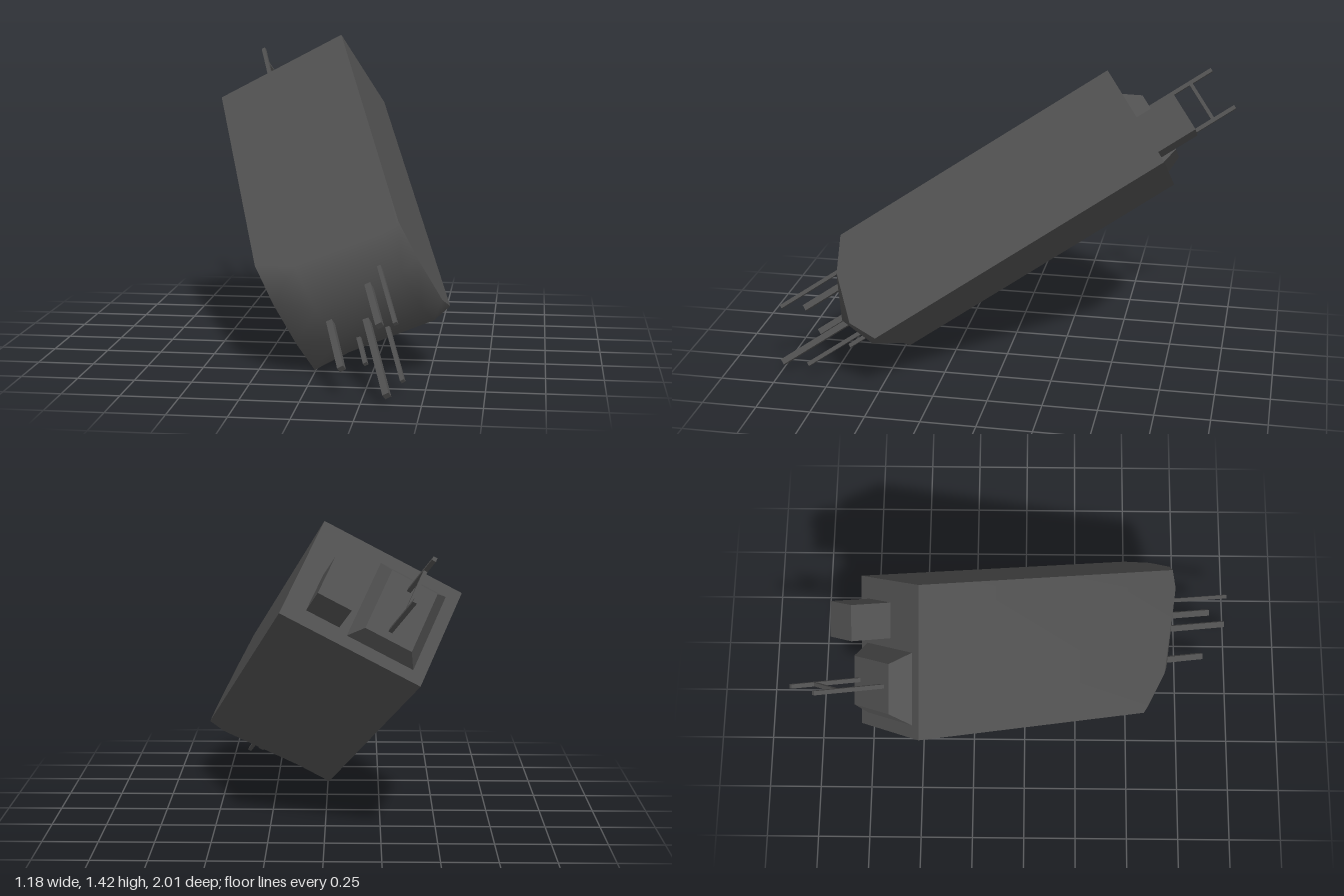
import * as THREE from 'three';

export function createModel() {
  const model = new THREE.Group();
  model.name = 'model';
  const gunmetal = new THREE.MeshStandardMaterial({ color: 0x505050 });
  gunmetal.name = 'dark grey';

  // Everything is built upright (top back edge on the x axis, front to +z), then tilted
  const body = new THREE.Group();
  body.name = 'tiltedBody';
  model.add(body);

  const add = (name, geometry, x = 0, y = 0, z = 0) => {
    const mesh = new THREE.Mesh(geometry, gunmetal);
    mesh.name = name;
    mesh.position.set(x, y, z);
    body.add(mesh);
    return mesh;
  };

  const fromTriangles = (triangles) => {
    const g = new THREE.BufferGeometry().setFromPoints(triangles.flat());
    g.computeVertexNormals();
    return g;
  };

  // Hull cross-sections from side to side: [depth below top, forward reach]
  const W = 0.666, H = 0.484;
  const sections = [
    [0, [[0, 1.24], [0.127, 1.37], [0.315, 1.46], [H, 1.485]]],
    [0.175, [[0, 1.36], [0.15, 1.5], [0.33, 1.535], [H, 1.48]]],
    [0.58, [[0, 1.42], [0.15, 1.53], [0.32, 1.6], [H, 1.53]]],
    [W, [[0, 1.4], [0.14, 1.5], [0.365, 1.56], [H, 1.495]]],
  ];
  const columns = sections.map(([x, pts]) =>
    [[0, 0], ...pts].map(([depth, z]) => new THREE.Vector3(x, -depth, z)));
  const rows = columns[0].length;

  // Smooth skin over the top and the rounded nose
  const index = [];
  for (let c = 0; c < 3; c++) {
    for (let r = 0; r < rows - 1; r++) {
      const p = c * rows + r, q = p + rows;
      index.push(p, p + 1, q, q, p + 1, q + 1);
    }
  }
  const skin = new THREE.BufferGeometry().setFromPoints(columns.flat());
  skin.setIndex(index);
  skin.computeVertexNormals();
  add('topAndNose', skin);

  // Flat sides, underside and back
  const lowA = new THREE.Vector3(0, -H, 0), lowB = new THREE.Vector3(W, -H, 0);
  const [sideA, sideB] = [columns[0], columns[3]];
  const sides = [], under = [];
  for (let r = 0; r < rows - 1; r++) {
    sides.push([lowB, sideB[r], sideB[r + 1]], [lowA, sideA[r + 1], sideA[r]]);
  }
  for (let c = 0; c < 3; c++) under.push([lowA, columns[c + 1][rows - 1], columns[c][rows - 1]]);
  under.push([lowA, lowB, sideB[rows - 1]]);
  add('sideWalls', fromTriangles(sides));
  add('underside', fromTriangles(under));
  add('backWall', fromTriangles([[lowA, sideA[0], sideB[0]], [lowA, sideB[0], lowB]]));

  // Block on the back
  add('backBlock', new THREE.BoxGeometry(0.156, 0.185, 0.205), 0.492, -0.322, -0.0925);

  // Raised panel on the back, with sloping edges
  const panel = new THREE.BoxGeometry(0.32, 0.383, 0.09);
  const pos = panel.attributes.position;
  for (let i = 0; i < pos.count; i++) {
    if (pos.getZ(i) < 0) {
      pos.setX(i, pos.getX(i) * 0.68);
      pos.setY(i, pos.getY(i) > 0 ? 0.137 : -0.16);
    }
  }
  panel.computeVertexNormals();
  add('backPanel', panel, 0.214, -0.2415, -0.04);

  // Pair of back aerials joined by a crossbar
  for (const y of [-0.151, -0.358]) {
    add('aerial', new THREE.BoxGeometry(0.018, 0.018, 0.37), 0.221, y, -0.237);
  }
  add('aerialCrossbar', new THREE.BoxGeometry(0.016, 0.207, 0.016), 0.221, -0.2545, -0.306);

  // Nose rods: x, depth below top, tip, thickness
  const noseRods = [
    [0.508, 0.103, 1.83, 0.017],
    [0.429, 0.149, 1.753, 0.028],
    [0.199, 0.236, 1.795, 0.028],
    [0.263, 0.38, 1.69, 0.018],
    [0.341, 0.295, 1.986, 0.028],
    [0.4, 0.378, 1.873, 0.018],
  ];
  for (const [x, depth, tip, t] of noseRods) {
    const start = 1.4;
    add('noseRod', new THREE.BoxGeometry(t, t, tip - start), x, -depth, (tip + start) / 2);
  }

  // Tilt the whole body nose-down and rolled
  const across = new THREE.Vector3(0.885, 0.465, 0).normalize();
  const forward = new THREE.Vector3(0.27, -0.513, 0.815).normalize();
  const up = forward.clone().cross(across).normalize();
  forward.crossVectors(across, up);
  body.applyMatrix4(new THREE.Matrix4().makeBasis(across, up, forward).setPosition(-0.59, 1.12, -0.45));
  return model;
}
